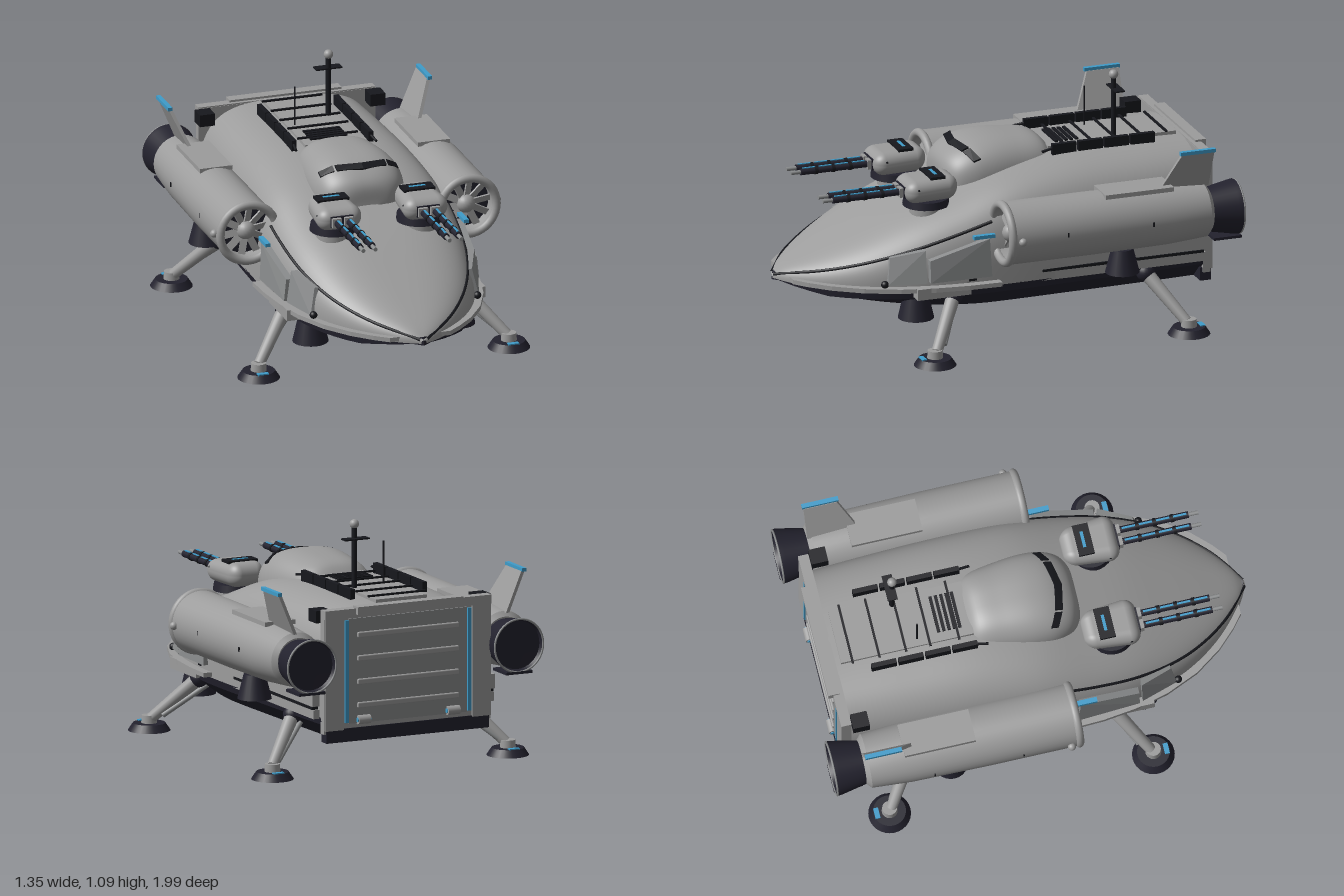
import * as THREE from 'three';
import { toCreasedNormals } from 'three/addons/utils/BufferGeometryUtils.js';
import { RoundedBoxGeometry } from 'three/addons/geometries/RoundedBoxGeometry.js';
import { ConvexGeometry } from 'three/addons/geometries/ConvexGeometry.js';

const mat = (name, color) => Object.assign(new THREE.MeshStandardMaterial({ color }), { name });
const V = (x, y, z) => new THREE.Vector3(x, y, z);

export function createModel() {
  const root = new THREE.Group();
  root.name = 'dropship';
  const grey = mat('hull grey', 0x9c9c9c), panel = mat('panel grey', 0x8c8e8f);
  const dark = mat('dark metal', 0x23222e), black = mat('black trim', 0x17181d);
  const blue = mat('blue accent', 0x3f9cca);

  const add = (name, geo, m, x = 0, y = 0, z = 0) => {
    const mesh = new THREE.Mesh(geo, m);
    mesh.name = name;
    mesh.position.set(x, y, z);
    root.add(mesh);
    return mesh;
  };
  const box = (name, m, w, h, d, x, y, z) => add(name, new THREE.BoxGeometry(w, h, d), m, x, y, z);
  const rod = (name, m, a, b, r, r2 = r) => {
    const mesh = add(name, new THREE.CylinderGeometry(r2, r, a.distanceTo(b), 20), m);
    mesh.position.copy(a).lerp(b, 0.5);
    mesh.quaternion.setFromUnitVectors(V(0, 1, 0), b.clone().sub(a).normalize());
    return mesh;
  };
  const ball = (name, m, r, x, y, z) => add(name, new THREE.SphereGeometry(r, 20, 14), m, x, y, z);
  // Lathe turned so its axis runs along z; profile is [radius, z]
  const latheZ = (pts) => toCreasedNormals(new THREE.LatheGeometry(
    pts.map(p => new THREE.Vector2(...p)), 36).rotateX(Math.PI / 2), 0.6);
  // Flat plate through corner points, given a thickness vector
  const plate = (name, m, corners, t) => add(name, new ConvexGeometry(
    corners.flatMap(c => [c, c.clone().add(t)])), m);

  // Skin over rings of points, rings ordered by increasing z
  const loft = (rings, crease) => {
    const n = rings[0].length, idx = [];
    for (let i = 0; i < rings.length - 1; i++) for (let j = 0; j < n - 1; j++) {
      const a = i * n + j, c = a + n;
      idx.push(a, a + 1, c, a + 1, c + 1, c);
    }
    const g = new THREE.BufferGeometry().setFromPoints(rings.flat());
    g.setIndex(idx);
    g.computeVertexNormals();
    return crease ? toCreasedNormals(g, crease) : g;
  };
  // Dome described by stations of [half width, top height, z]
  const dome = (stations, base, power) => {
    const curve = new THREE.CatmullRomCurve3(stations.map(s => V(...s)));
    const at = (z) => {
      let lo = 0, hi = 1;
      for (let i = 0; i < 30; i++) {
        const u = (lo + hi) / 2;
        if (curve.getPoint(u).z < z) lo = u; else hi = u;
      }
      return curve.getPoint(lo);
    };
    const rings = [];
    for (let i = 0; i <= 48; i++) {
      const p = curve.getPoint(i / 48), e = 2 / power(p.z), ring = [];
      for (let j = 0; j <= 40; j++) {
        const a = j / 40 * Math.PI, c = Math.cos(a);
        ring.push(V(Math.sign(c) * p.x * Math.abs(c) ** e,
          base + (p.y - base) * Math.max(0, Math.sin(a)) ** e, p.z));
      }
      rings.push(ring);
    }
    const xAt = (y, z) => {
      const p = at(z), n = power(z), k = Math.min(1, (y - base) / (p.y - base));
      return p.x * (1 - k ** n) ** (1 / n);
    };
    const yAt = (x, z) => {
      const p = at(z), n = power(z), k = Math.min(1, Math.abs(x) / p.x);
      return base + (p.y - base) * (1 - k ** n) ** (1 / n);
    };
    return { geo: loft(rings), at, xAt, yAt };
  };

  // Main hull and belly
  const hull = dome([[0.415, 0.765, -0.88], [0.43, 0.77, -0.6], [0.442, 0.765, -0.25], [0.45, 0.725, 0.02],
    [0.445, 0.652, 0.24], [0.415, 0.577, 0.45], [0.35, 0.488, 0.65], [0.24, 0.407, 0.82],
    [0.1, 0.34, 0.95], [0.012, 0.3, 1]], 0.285, z => 3.7 - 1.2 * Math.max(0, z));
  add('hull', hull.geo, grey);
  const bellyRings = [];
  for (let i = 0; i <= 32; i++) {
    const z = -0.88 + i / 32 * 1.875, w = hull.at(z).x, b = 0.17 + 0.115 * Math.max(0, (z - 0.1) / 0.9) ** 1.6;
    bellyRings.push([[-1, 0.287], [-0.98, 0.25], [-0.76, 0], [0.76, 0], [0.98, 0.25], [1, 0.287]]
      .map(([x, y]) => V(x * w, Math.max(y, b), z)));
  }
  add('belly', loft(bellyRings, 0.5), dark);
  add('noseTip', new ConvexGeometry([V(-0.085, 0.285, 0.955), V(0.085, 0.285, 0.955), V(0, 0.275, 1.0),
    V(0, 0.315, 0.995), V(-0.075, 0.3, 0.955), V(0.075, 0.3, 0.955), V(0, 0.262, 0.95)]), dark);

  // Canopy with a wrapped window band
  const canopy = dome([[0.15, 0.76, -0.28], [0.18, 0.815, -0.22], [0.2, 0.835, -0.1], [0.212, 0.84, 0.03],
    [0.205, 0.825, 0.12], [0.175, 0.79, 0.19], [0.12, 0.745, 0.228], [0.05, 0.66, 0.238]], 0.655, () => 2.7);
  add('canopy', canopy.geo, grey);
  for (const [x0, x1] of [[-0.18, -0.125], [-0.115, 0], [0, 0.115], [0.125, 0.18]]) {
    const pt = (x, dz) => {
      const z = 0.155 - 0.05 * (x / 0.17) ** 2 + dz;
      return V(x, canopy.yAt(x, z) + 0.001, z);
    };
    plate('canopyWindow', black, [pt(x0, -0.015), pt(x1, -0.015), pt(x1, 0.018), pt(x0, 0.018)], V(0, 0.007, 0.003));
  }

  // Roof deck, rungs, louvres, rails and aerials
  box('roofDeck', grey, 0.25, 0.03, 0.6, 0, 0.765, -0.55);
  for (const z of [-0.8, -0.68, -0.56, -0.45, -0.32]) box('rung', black, 0.28, 0.008, 0.01, 0, 0.787, z);
  for (let i = 0; i < 5; i++) box('louvre', black, 0.17, 0.008, 0.014, 0, 0.784, -0.4 + i * 0.024);
  for (const s of [-1, 1]) {
    for (let i = 0; i < 4; i++) box('roofRail', black, 0.022, 0.05, 0.113, s * 0.178, 0.783, -0.67 + i * 0.122);
    rod('railEnd', black, V(s * 0.178, 0.79, -0.26), V(s * 0.186, 0.78, -0.2), 0.006);
  }
  rod('mast', black, V(0.09, 0.76, -0.57), V(0.09, 1.05, -0.57), 0.012);
  ball('mastBall', grey, 0.021, 0.09, 1.065, -0.57);
  box('mastCrossbar', black, 0.12, 0.006, 0.045, 0.09, 1.0, -0.58);
  rod('whipAerial', black, V(-0.09, 0.76, -0.5), V(-0.09, 0.96, -0.5), 0.004);

  // Rear wall and ribbed ramp door
  box('rearFrame', grey, 0.82, 0.55, 0.035, 0, 0.485, -0.888);
  box('rearLintel', grey, 0.82, 0.04, 0.045, 0, 0.745, -0.895);
  box('rearHeader', grey, 0.52, 0.035, 0.05, 0, 0.757, -0.915);
  box('rearSill', dark, 0.8, 0.06, 0.05, 0, 0.2, -0.885);
  box('rampDoor', panel, 0.58, 0.47, 0.01, 0, 0.485, -0.907);
  for (let i = 0; i < 4; i++) add('doorRib', new RoundedBoxGeometry(0.5, 0.026, 0.016, 2, 0.006), grey, 0, 0.33 + i * 0.105, -0.912);

  for (const s of [-1, 1]) {
    box('rearPost', grey, 0.09, 0.5, 0.012, s * 0.362, 0.475, -0.909);
    box('doorLight', blue, 0.016, 0.46, 0.01, s * 0.302, 0.485, -0.912);
    rod('doorHinge', grey, V(s * 0.19, 0.265, -0.915), V(s * 0.25, 0.265, -0.915), 0.02);
    rod('hingePin', blue, V(s * 0.186, 0.265, -0.918), V(s * 0.254, 0.265, -0.918), 0.01);
    box('rearCornerBox', black, 0.07, 0.055, 0.075, s * 0.395, 0.732, -0.83);

    // Engine nacelle: shell, intake fan, nozzle
    const nx = s * 0.51, ny = 0.544;
    add('nacelle', latheZ([[0, -0.85], [0.1, -0.85], [0.122, -0.83], [0.135, -0.65], [0.14, -0.3], [0.14, 0.11],
      [0.115, 0.11], [0.112, 0.03]]), grey, nx, ny);
    add('intakeRing', new THREE.TorusGeometry(0.13, 0.019, 14, 40), grey, nx, ny, 0.105);
    add('intakeBack', new THREE.CircleGeometry(0.114, 32), dark, nx, ny, 0.045);
    for (let i = 0; i < 10; i++) {
      const a = i / 10 * Math.PI * 2 + 0.15;
      const blade = box('fanBlade', grey, 0.085, 0.032, 0.008, nx + Math.cos(a) * 0.07, ny + Math.sin(a) * 0.07, 0.065);
      blade.rotation.set(0.35, 0, a, 'ZXY');
    }
    ball('fanHub', grey, 0.042, nx, ny, 0.065);
    add('nozzle', latheZ([[0, -0.965], [0.108, -0.97], [0.114, -0.985], [0.123, -0.985], [0.12, -0.96], [0.098, -0.85], [0.095, -0.82]]),
      dark, nx, ny - 0.005);
    add('nozzleRim', new THREE.TorusGeometry(0.119, 0.005, 8, 36), panel, nx, ny - 0.005, -0.985);
    box('nozzleBracket', dark, 0.13, 0.012, 0.13, nx, 0.418, -0.925);
    ball('nacelleBolt', grey, 0.018, s * 0.655, ny, 0.065);
    box('nacelleHatch', grey, 0.15, 0.02, 0.32, s * 0.505, 0.677, -0.51);
    for (const z of [-0.15, -0.55]) box('nacelleSlot', black, 0.006, 0.02, 0.007, s * 0.647, 0.55, z);

    // Tail fin leaning outward, with a lit cap
    const t = V(s * 0.016, 0, 0);
    plate('tailFin', grey, [V(s * 0.515, 0.66, -0.62), V(s * 0.59, 0.84, -0.7), V(s * 0.59, 0.84, -0.85), V(s * 0.515, 0.66, -0.85)], t);
    box('finCap', blue, 0.02, 0.016, 0.165, s * 0.602, 0.846, -0.773);

    // Downward thrusters
    add('rearThruster', new THREE.CylinderGeometry(0.048, 0.076, 0.11, 24), dark, s * 0.52, 0.357, -0.45);
    add('frontThruster', new THREE.CylinderGeometry(0.055, 0.08, 0.11, 24), dark, s * 0.34, 0.198, 0.45);

    // Landing legs
    for (const [hz, fz] of [[0.3, 0.45], [-0.6, -0.74]]) {
      const hip = V(s * 0.41, 0.245, hz), ankle = V(s * 0.575, 0.055, fz - Math.sign(fz) * 0.01);
      ball('hipJoint', dark, 0.042, hip.x, hip.y, hip.z);
      rod('legStrut', grey, ankle, hip, 0.024, 0.032);
      rod('legRam', panel, ankle.clone().lerp(hip, 0.2).add(V(0, -0.02, -0.02)), hip.clone().add(V(-s * 0.03, -0.03, -0.02)), 0.012);
      add('ankle', new THREE.CylinderGeometry(0.033, 0.036, 0.045, 24), grey, s * 0.58, 0.045, fz);
      add('footPad', new THREE.CylinderGeometry(0.072, 0.094, 0.033, 28), dark, s * 0.58, 0.0165, fz);
      box('footLight', blue, 0.05, 0.008, 0.022, s * 0.58, 0.034, fz + Math.sign(fz) * 0.058);
    }

    // Bow strake, seam line and lower side rails
    const zs = [0.1, 0.25, 0.4, 0.55, 0.7, 0.82, 0.9, 0.95];
    const outer = zs.map(z => new THREE.Vector2(s * (hull.at(z).x + 0.04), z));
    const inner = zs.map(z => new THREE.Vector2(s * (hull.at(z).x - 0.03), z)).reverse();
    add('bowStrake', new THREE.ExtrudeGeometry(new THREE.Shape([...outer, ...inner]), { depth: 0.02, bevelEnabled: false })
      .rotateX(Math.PI / 2), grey, 0, 0.31, 0);
    const seam = [];
    for (let z = 0.12; z < 0.96; z += 0.06) {
      const y = 0.31 + (1 - z) * 0.295;
      seam.push(V(s * hull.xAt(y, z), y, z));
    }
    seam.push(V(s * 0.015, 0.302, 0.995));
    add('hullSeam', new THREE.TubeGeometry(new THREE.CatmullRomCurve3(seam), 60, 0.007, 6), black);
    box('sideRail', grey, 0.05, 0.04, 1.12, s * 0.42, 0.297, -0.31);
    box('sideRailGap', black, 0.03, 0.012, 1.1, s * 0.432, 0.323, -0.31);
    box('sideLocker', grey, 0.05, 0.065, 0.42, s * 0.425, 0.365, -0.66);
    box('sideStep', grey, 0.07, 0.05, 0.25, s * 0.425, 0.285, 0.36);

    // Angled cheek panels with a lit edge
    const c = V(-s * 0.03, 0, 0);
    plate('cheekPanel', panel, [V(s * 0.47, 0.335, 0.14), V(s * 0.466, 0.51, 0.15), V(s * 0.442, 0.43, 0.42), V(s * 0.452, 0.33, 0.42)], c);
    plate('cheekPanelFront', panel, [V(s * 0.445, 0.33, 0.435), V(s * 0.425, 0.475, 0.435), V(s * 0.365, 0.44, 0.58), V(s * 0.39, 0.32, 0.6)], c);
    box('cheekLight', blue, 0.022, 0.016, 0.1, s * 0.46, 0.522, 0.175);
    ball('bowLamp', black, 0.017, s * 0.38, 0.325, 0.61);

    // Twin-gun turret, its body narrowing to the rear
    const tx = s * 0.2;
    add('turretCollar', new THREE.CylinderGeometry(0.08, 0.08, 0.06, 28), grey, tx, 0.585, 0.345);
    add('turretBase', new THREE.CylinderGeometry(0.1, 0.105, 0.033, 28), dark, tx, 0.629, 0.35);
    const body = new RoundedBoxGeometry(0.205, 0.108, 0.25, 6, 0.05), pos = body.attributes.position;
    for (let i = 0; i < pos.count; i++) {
      const z = pos.getZ(i);
      pos.setX(i, pos.getX(i) * (1 - 0.3 * THREE.MathUtils.clamp((-0.03 - z) / 0.09, 0, 1)));
      if (pos.getY(i) > 0) pos.setY(i, pos.getY(i) * (1 - 0.2 * THREE.MathUtils.clamp((z - 0.02) / 0.1, 0, 1)));
    }
    add('turretBody', body, grey, tx, 0.696, 0.345);
    box('turretTopPlate', black, 0.145, 0.012, 0.07, tx, 0.749, 0.32);
    box('turretTopLight', blue, 0.075, 0.008, 0.014, tx, 0.753, 0.318);
    box('turretFace', dark, 0.105, 0.05, 0.012, tx, 0.692, 0.467);
    for (const e of [-1, 1]) {
      ball('turretSensor', black, 0.022, tx + e * 0.08, 0.705, 0.42);
      const gx = tx + e * 0.028;
      box('gunMount', grey, 0.042, 0.042, 0.03, gx, 0.692, 0.475);
      rod('gunBarrel', dark, V(gx, 0.692, 0.48), V(gx, 0.692, 0.8), 0.015);
      rod('gunMuzzle', panel, V(gx, 0.692, 0.8), V(gx, 0.692, 0.845), 0.009);
      for (let i = 0; i < 4; i++) box('gunLight', blue, 0.009, 0.006, 0.06, gx, 0.707, 0.53 + i * 0.077);
      for (let i = 0; i < 3; i++) rod('gunCollar', black, V(gx, 0.692, 0.56 + i * 0.08), V(gx, 0.692, 0.575 + i * 0.08), 0.018);
    }
  }
  return root;
}
